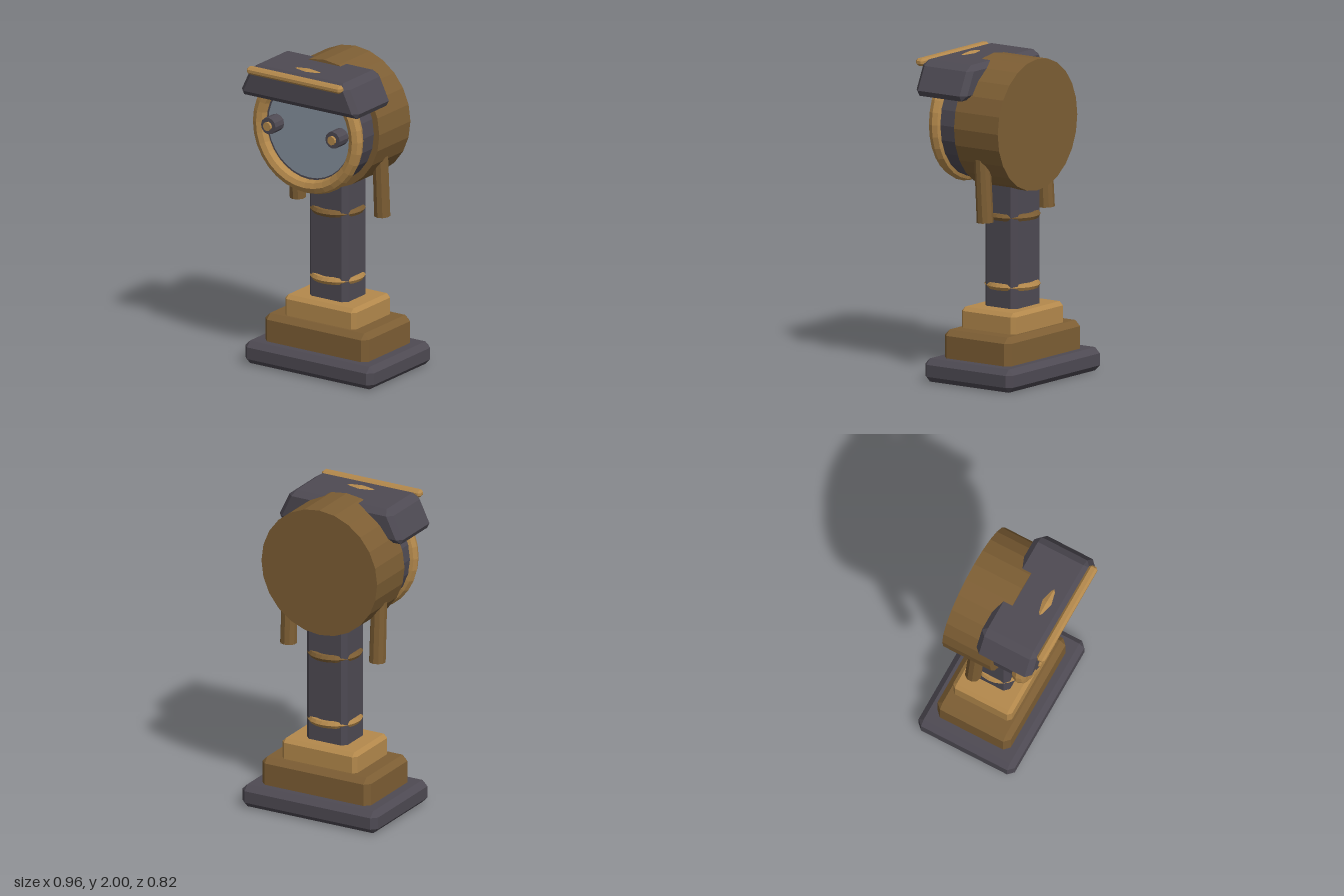
import * as THREE from 'three';
import { ConvexGeometry } from 'three/addons/geometries/ConvexGeometry.js';

const material = (name, color) => {
  const m = new THREE.MeshStandardMaterial({ color, flatShading: true });
  m.name = name;
  return m;
};

// Box with every edge chamfered by c; taper narrows x as y rises
function chamferBox(w, h, d, c, taper = 0) {
  const points = [];
  for (const sx of [-1, 1]) for (const sy of [-1, 1]) for (const sz of [-1, 1]) {
    for (const [ix, iy, iz] of [[c, c, 0], [c, 0, c], [0, c, c]]) {
      const y = sy * (h / 2 - iy);
      points.push(new THREE.Vector3(sx * (w / 2 - ix - taper * y), y, sz * (d / 2 - iz)));
    }
  }
  return new ConvexGeometry(points);
}

// Cylinder lying along z from z0 to z1
function zCylinder(radius, z0, z1, sides) {
  return new THREE.CylinderGeometry(radius, radius, z1 - z0, sides)
    .rotateX(Math.PI / 2).translate(0, 0, (z0 + z1) / 2);
}

export function createModel() {
  const model = new THREE.Group();
  const dark = material('dark iron', 0x4e4a53);
  const brown = material('aged bronze', 0x7d5e34);
  const gold = material('polished brass', 0xb4894c);
  const glass = material('blue grey glass', 0x87929f);

  const add = (name, geometry, mat, x = 0, y = 0, z = 0) => {
    const mesh = new THREE.Mesh(geometry, mat);
    mesh.name = name;
    mesh.position.set(x, y, z);
    model.add(mesh);
    return mesh;
  };

  // Stepped base and column share one axis
  const axisZ = -0.075;
  add('basePlate', chamferBox(0.96, 0.145, 0.67, 0.035), dark, 0, 0.0725, axisZ);
  add('baseMiddle', chamferBox(0.77, 0.21, 0.51, 0.035), brown, 0, 0.215, axisZ);
  add('baseTop', chamferBox(0.53, 0.18, 0.41, 0.024), gold, 0, 0.36, axisZ);
  add('column', chamferBox(0.288, 0.95, 0.245, 0.03), dark, 0, 0.835, axisZ);
  for (const y of [0.58, 1.015]) {
    const ring = new THREE.TorusGeometry(0.148, 0.024, 6, 24).rotateX(Math.PI / 2);
    add('columnRing', ring, gold, 0, y, axisZ).material = y > 1 ? brown : gold;
  }

  // Round head: drum, neck, glass and bezel
  const headY = 1.59;
  add('drum', zCylinder(0.41, -0.265, 0.068, 24), brown, 0, headY);
  add('drumNeck', zCylinder(0.37, 0.05, 0.225, 24), dark, 0, headY);
  add('glassFace', zCylinder(0.305, 0.222, 0.231, 32), glass, 0, headY);
  add('bezel', new THREE.TorusGeometry(0.358, 0.045, 8, 32), gold, 0, headY, 0.242);

  // Paired knobs on the glass and posts under the drum
  for (const side of [-1, 1]) {
    add('knob', zCylinder(0.054, 0.22, 0.325, 12), dark, side * 0.24, 1.597);
    add('knobCentre', zCylinder(0.028, 0.31, 0.342, 10), gold, side * 0.24, 1.597);
    const post = new THREE.CylinderGeometry(0.05, 0.052, 0.46, 10);
    add('sidePost', post, brown, side * 0.315, 1.24, -0.087).rotation.x = 0.055;
  }

  // Tapered hood with a front trim bar
  add('hood', chamferBox(0.807, 0.212, 0.385, 0.034, 0.48), dark, 0, 1.874, 0.164);
  add('hoodTrim', chamferBox(0.7, 0.046, 0.056, 0.014), gold, 0, 1.957, 0.382);

  return model;
}
